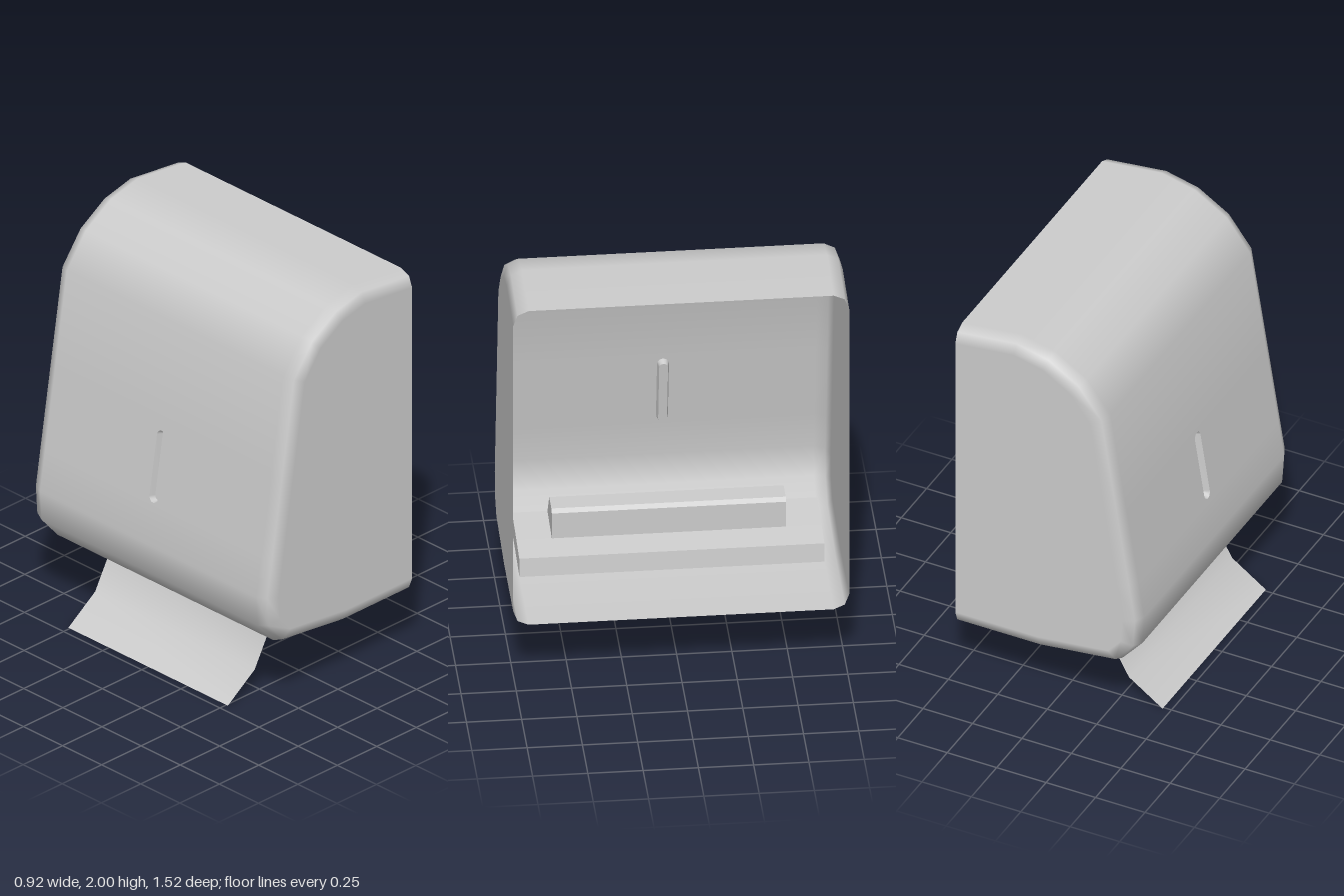
import * as THREE from 'three';

const material = new THREE.MeshStandardMaterial({ color: 0xcccccc, side: THREE.DoubleSide });
const V2 = (x, y) => new THREE.Vector2(x, y);

// Side profile of the cover, from the top rear edge over the front to the bottom rear edge
const PROFILE = [
  [0.46, 1.965], [0.16, 2.0], [-0.01, 1.96], [-0.17, 1.86], [-0.29, 1.7], [-0.371, 1.19],
  [-0.43, 0.82], [-0.46, 0.63], [-0.45, 0.48], [-0.35, 0.365], [0.04, 0.32], [0.46, 0.32],
].map(([x, y]) => V2(x, y));
const DENT_SEGMENT = 5, SLOT_SEGMENT = 9;

// Stations across the width: [z, inset of the profile, tilt of the normal]
const EDGE = [[0.69, 0, 0], [0.74, 0.022, Math.PI / 4], [0.76, 0.075, Math.PI / 2]];
const STATIONS = [
  ...EDGE.map(([z, d, a]) => [-z, d, -a]).reverse(),
  [-0.032, 0, 0], [0.032, 0, 0],
  ...EDGE,
];

function mesh(name, geometry) {
  const m = new THREE.Mesh(geometry, material);
  m.name = name;
  return m;
}

function makeGeometry(position, index, normal) {
  const g = new THREE.BufferGeometry();
  g.setAttribute('position', new THREE.Float32BufferAttribute(position, 3));
  g.setIndex(index);
  if (normal) g.setAttribute('normal', new THREE.Float32BufferAttribute(normal, 3));
  else g.computeVertexNormals();
  return g;
}

// Outward normal and mitre vector at each profile point
const FRAMES = PROFILE.map((p, i) => {
  const last = PROFILE.length - 1;
  if (i === 0 || i === last) {
    const n = V2(0, i === 0 ? 1 : -1);
    return { normal: n, mitre: n };
  }
  const t1 = p.clone().sub(PROFILE[i - 1]), t2 = PROFILE[i + 1].clone().sub(p);
  const n1 = V2(t1.y, -t1.x), n2 = V2(t2.y, -t2.x);
  const normal = n1.clone().add(n2).normalize();
  n1.normalize();
  n2.normalize();
  return { normal, mitre: n1.clone().add(n2).divideScalar(1 + n1.dot(n2)) };
});
const inset = (d) => PROFILE.map((p, i) => p.clone().addScaledVector(FRAMES[i].mitre, -d));

// Rounded cover sheet, leaving out the cells for the front dent and the bottom slot
function coverSheet() {
  const pos = [], nor = [], index = [], rows = PROFILE.length;
  STATIONS.forEach(([z, d, a], j) => {
    inset(d).forEach((p, i) => {
      const n = FRAMES[i].normal;
      pos.push(p.x, p.y, z);
      nor.push(n.x * Math.cos(a), n.y * Math.cos(a), Math.sin(a));
      if (i === rows - 1 || j === STATIONS.length - 1) return;
      if (i === DENT_SEGMENT && j === 3) return;
      if (i === SLOT_SEGMENT && j >= 2 && j <= 4) return;
      const q = j * rows + i;
      index.push(q, q + 1, q + 1 + rows, q, q + 1 + rows, q + rows);
    });
  });
  return makeGeometry(pos, index, nor);
}

// Sheet swept along z from a profile in x and y
function sheet(points, z0, z1, flat = true) {
  const pos = [], index = [];
  points.forEach(([x, y], i) => {
    pos.push(x, y, z0, x, y, z1);
    if (i) index.push(2 * i - 2, 2 * i, 2 * i + 1, 2 * i - 2, 2 * i + 1, 2 * i - 1);
  });
  const g = makeGeometry(pos, index);
  if (!flat) return g;
  const f = g.toNonIndexed();
  f.computeVertexNormals();
  return f;
}

function flatPanel(points, z) {
  return new THREE.ShapeGeometry(new THREE.Shape(points.map(([x, y]) => V2(x, y)))).translate(0, 0, z);
}

// Capsule outline, upright, counterclockwise
function capsule(r, half) {
  const pts = [];
  for (let k = 0; k < 14; k++) {
    const a = (k % 7) / 6 * Math.PI + (k < 7 ? 0 : Math.PI);
    pts.push(V2(r * Math.cos(a), r * Math.sin(a) + (k < 7 ? 1 : -1) * (half - r)));
  }
  return pts;
}

// Shallow upright dent in the sloping front
function frontDent() {
  const group = new THREE.Group();
  group.name = 'frontDent';
  const a = PROFILE[DENT_SEGMENT], b = PROFILE[DENT_SEGMENT + 1];
  const up = a.clone().sub(b), h = up.length() / 2;
  up.normalize();
  const rim = capsule(0.027, 0.177), floor = capsule(0.02, 0.17), depth = 0.03;

  const plate = new THREE.Shape([V2(-0.032, -h), V2(0.032, -h), V2(0.032, h), V2(-0.032, h)]);
  plate.holes.push(new THREE.Path(rim));
  group.add(mesh('dentSurround', new THREE.ShapeGeometry(plate)));
  group.add(mesh('dentFloor', new THREE.ShapeGeometry(new THREE.Shape(floor)).translate(0, 0, -depth)));

  const pos = [], index = [], n = rim.length;
  for (let i = 0; i < n; i++) {
    pos.push(rim[i].x, rim[i].y, 0, floor[i].x, floor[i].y, -depth);
    const p = 2 * i, q = 2 * ((i + 1) % n);
    index.push(p, q, q + 1, p, q + 1, p + 1);
  }
  group.add(mesh('dentWall', makeGeometry(pos, index)));

  group.applyMatrix4(new THREE.Matrix4().makeBasis(
    new THREE.Vector3(0, 0, 1),
    new THREE.Vector3(up.x, up.y, 0),
    new THREE.Vector3(-up.y, up.x, 0),
  ).setPosition((a.x + b.x) / 2, (a.y + b.y) / 2, 0));
  return group;
}

// Raised hood over the paper slot: low at the sides, high in the middle
function slotHood() {
  const group = new THREE.Group();
  group.name = 'slotHood';
  const low = [[0.04, 0.32], [0.03, 0.41], [-0.1, 0.43], [-0.3, 0.455], [-0.35, 0.365]];
  const high = [[0.04, 0.32], [0.03, 0.41], [-0.1, 0.43], [-0.1, 0.56], [-0.12, 0.575],
    [-0.22, 0.575], [-0.3, 0.455], [-0.35, 0.365]];
  const step = high.slice(2, 7);
  group.add(mesh('hoodMiddle', sheet(high, -0.53, 0.53)));
  for (const s of [-1, 1]) {
    group.add(mesh('hoodSide', sheet(low, s < 0 ? -0.69 : 0.53, s < 0 ? -0.53 : 0.69)));
    group.add(mesh('hoodStep', flatPanel(step, s * 0.53)));
    group.add(mesh('hoodEnd', flatPanel(low, s * 0.69)));
  }
  return group;
}

export function createModel() {
  const model = new THREE.Group();
  model.name = 'paperTowelDispenser';

  // Cover with flat side walls, open at the rear
  model.add(mesh('cover', coverSheet()));
  const side = inset(0.075).map((p) => [p.x, p.y]);
  const right = flatPanel(side, 0).rotateY(Math.PI).scale(-1, 1, 1);
  right.index.array.reverse();
  right.computeVertexNormals();
  model.add(mesh('leftWall', flatPanel(side, 0.76)));
  model.add(mesh('rightWall', right.translate(0, 0, -0.76)));

  model.add(frontDent());
  model.add(slotHood());

  // Hanging paper sheet
  const paper = [[-0.15, 0.56], [-0.18, 0.32], [-0.29, 0.12], [-0.46, 0]];
  model.add(mesh('paper', sheet(paper, -0.51, 0.51, false)));
  return model;
}
